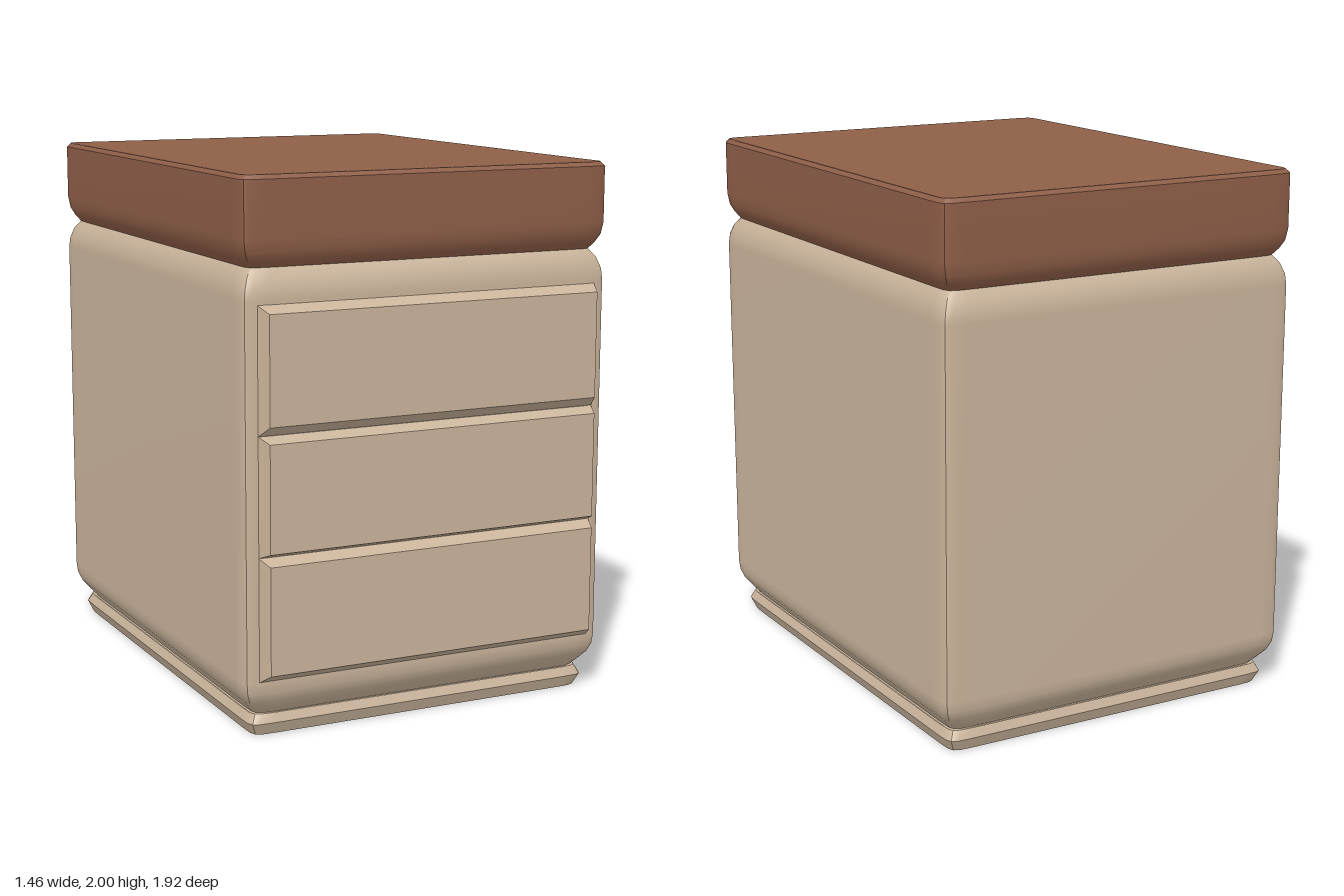
import * as THREE from 'three';
import { mergeGeometries } from 'three/addons/utils/BufferGeometryUtils.js';

const HX = 0.73, HZ = 0.932, CZ = -0.028; // half sizes and centre of the cabinet

// One side of a softly cornered block: a grid over a [inset, y] profile
function sideGeometry(profile, half, depth) {
  const pos = [], index = [];
  for (const [inset, y] of profile) {
    const w = half - inset, d = depth - inset;
    // the side bends inwards slightly just before the corner
    for (const [x, z] of [[-w + 0.012, d - 0.012], [-w + 0.035, d - 0.002], [-w + 0.09, d],
      [w - 0.09, d], [w - 0.035, d - 0.002], [w - 0.012, d - 0.012]]) pos.push(x, y, z);
  }
  for (let r = 0; r < profile.length - 1; r++) {
    for (let c = 0; c < 5; c++) {
      const a = r * 6 + c, b = a + 6;
      index.push(a, a + 1, b + 1, a, b + 1, b);
    }
  }
  const g = new THREE.BufferGeometry();
  g.setAttribute('position', new THREE.Float32BufferAttribute(pos, 3));
  g.setIndex(index);
  g.computeVertexNormals();
  return g;
}

// Flat end of the block
function capGeometry([inset, y], up) {
  const w = HX - inset, d = HZ - inset, k = 0.012;
  const s = new THREE.Shape([[w - k, d - k], [w - 0.035, d - 0.002], [-w + 0.035, d - 0.002], [-w + k, d - k],
    [-w + 0.002, d - 0.035], [-w + 0.002, -d + 0.035], [-w + k, -d + k], [-w + 0.035, -d + 0.002],
    [w - 0.035, -d + 0.002], [w - k, -d + k], [w - 0.002, -d + 0.035], [w - 0.002, d - 0.035]]
    .map(([x, z]) => new THREE.Vector2(x, z)));
  const g = new THREE.ShapeGeometry(s);
  g.deleteAttribute('uv');
  return g.rotateX(up ? -Math.PI / 2 : Math.PI / 2).translate(0, y, 0);
}

function blockGeometry(profile) {
  const parts = [capGeometry(profile[0], false), capGeometry(profile[profile.length - 1], true)];
  for (let i = 0; i < 4; i++) {
    const g = i % 2 ? sideGeometry(profile, HZ, HX) : sideGeometry(profile, HX, HZ);
    parts.push(g.rotateY(i * Math.PI / 2));
  }
  return mergeGeometries(parts).translate(0, 0, CZ);
}

// Drawer front: a box whose front face is narrowed into a bevel
function drawerGeometry(y0, y1, front0, front1) {
  const g = new THREE.BoxGeometry(1, 1, 1), p = g.attributes.position;
  for (let i = 0; i < p.count; i++) {
    const front = p.getZ(i) > 0, top = p.getY(i) > 0;
    p.setXYZ(i, Math.sign(p.getX(i)) * (front ? 0.655 : 0.675),
      front ? (top ? front1 : front0) : (top ? y1 : y0), front ? 0.96 : 0.903);
  }
  g.computeVertexNormals();
  return g;
}

export function createModel() {
  const group = new THREE.Group();
  const cream = new THREE.MeshStandardMaterial({ color: 0xcbb59c });
  cream.name = 'cream';
  const brown = new THREE.MeshStandardMaterial({ color: 0x8f5f48 });
  brown.name = 'brown';
  const add = (name, geometry, material) => {
    const mesh = new THREE.Mesh(geometry, material);
    mesh.name = name;
    group.add(mesh);
  };

  // Plinth with a flared lip, in two flat bands
  add('plinth', blockGeometry([[0.055, 0], [0.036, 0.045]]), cream);
  add('plinthLip', blockGeometry([[0.036, 0.045], [0.052, 0.078]]), cream);
  // Cabinet body, pinched at top and bottom
  add('body', blockGeometry([[0.066, 0.075], [0.045, 0.1], [0.018, 0.135], [0.004, 0.17], [0, 0.21],
    [0, 1.57], [0.004, 1.61], [0.018, 1.65], [0.04, 1.68]]), cream);
  // Thick worktop with a rounded underside and a narrow top bevel
  add('worktop', blockGeometry([[0.04, 1.68], [0.022, 1.705], [0.007, 1.735], [0, 1.78], [0, 1.975], [0, 1.985]]), brown);
  add('worktopBevel', blockGeometry([[0, 1.985], [0.012, 2]]), brown);
  // Three bevelled drawer fronts
  const drawers = [['bottomDrawer', 0.215, 0.667, 0.25, 0.645], ['middleDrawer', 0.667, 1.1, 0.69, 1.08],
    ['topDrawer', 1.1, 1.557, 1.14, 1.532]];
  for (const [name, ...span] of drawers) add(name, drawerGeometry(...span), cream);
  return group;
}
